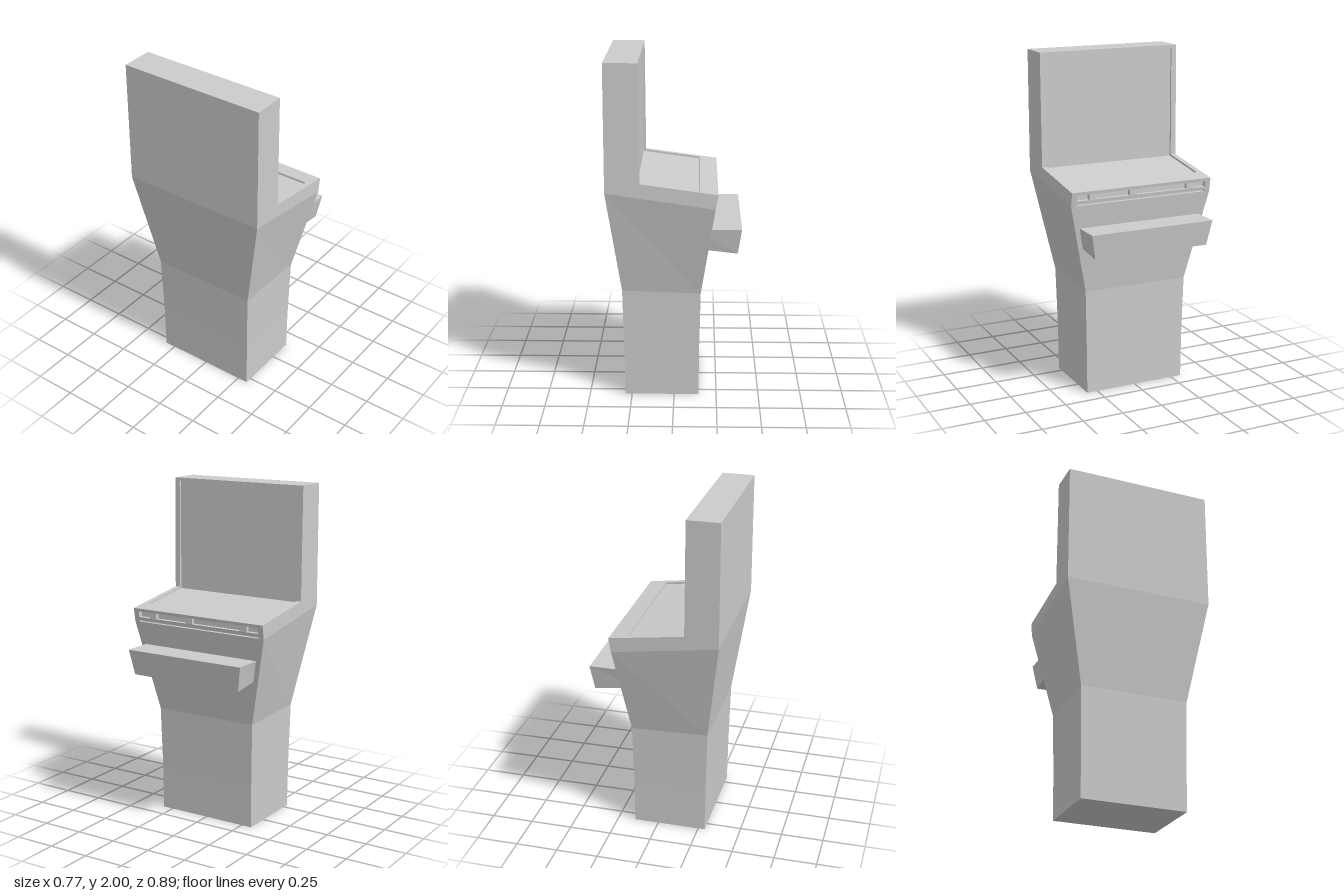
import * as THREE from 'three';

const material = new THREE.MeshStandardMaterial({ color: 0xcccccc, flatShading: true, side: THREE.DoubleSide });

function add(parent, name, geometry) {
  const mesh = new THREE.Mesh(geometry, material);
  mesh.name = name;
  parent.add(mesh);
  return mesh;
}

// Closed four-sided loft; each ring is { back: [x, y], front: [x, y], w: half width }
function loft(rings) {
  const corners = rings.map(({ back, front, w }) => [
    [...back, -w], [...front, -w], [...front, w], [...back, w],
  ]);
  const pos = [];
  const quad = (a, b, c, d) => pos.push(...a, ...b, ...c, ...a, ...c, ...d);
  for (let i = 0; i < corners.length - 1; i++) {
    const lo = corners[i], hi = corners[i + 1];
    for (let j = 0; j < 4; j++) {
      const k = (j + 1) % 4;
      quad(lo[j], hi[j], hi[k], lo[k]);
    }
  }
  quad(...corners[0]);
  quad(...corners[corners.length - 1].slice().reverse());
  const geometry = new THREE.BufferGeometry();
  geometry.setAttribute('position', new THREE.Float32BufferAttribute(pos, 3));
  geometry.computeVertexNormals();
  return geometry;
}

// Side profile extruded across the width from z0 to z1
function slab(points, z0, z1) {
  const shape = new THREE.Shape(points.map(([x, y]) => new THREE.Vector2(x, y)));
  return new THREE.ExtrudeGeometry(shape, { depth: z1 - z0, bevelEnabled: false }).translate(0, 0, z0);
}

export function createModel() {
  const group = new THREE.Group();
  group.name = 'kiosk';
  const W = 0.445, inner = 0.412;

  // Tapered pedestal
  add(group, 'pedestal', loft([
    { back: [-0.29, 0], front: [0.145, 0], w: 0.315 },
    { back: [-0.294, 0.3], front: [0.147, 0.27], w: 0.317 },
    { back: [-0.302, 0.655], front: [0.155, 0.64], w: 0.325 },
    { back: [-0.387, 1.27], front: [0.235, 1.18], w: W },
  ]));

  // Solid side cheeks that frame the screens and the slots
  const cheek = [
    [-0.387, 1.27], [0.235, 1.18], [0.25, 1.265], [-0.19, 1.325], [-0.195, 2], [-0.387, 2],
  ];
  add(group, 'leftCheek', slab(cheek, -W, -inner));
  add(group, 'rightCheek', slab(cheek, inner, W));

  // Middle section with recessed upright and desk screens and two front slots
  const face = (y) => 0.235 + (y - 1.18) * 0.176;
  add(group, 'screenHousing', slab([
    [-0.387, 1.27], [0.235, 1.18],
    [face(1.183), 1.183], [0.215, 1.183], [0.215, 1.194], [face(1.194), 1.194],
    [face(1.212), 1.212], [0.215, 1.212], [0.215, 1.247], [face(1.247), 1.247],
    [0.25, 1.265], [0.143, 1.28], [0.142, 1.268],
    [-0.204, 1.315], [-0.207, 1.98], [-0.195, 1.98], [-0.195, 2], [-0.387, 2],
  ], -inner, inner));

  // Blocks in the upper slot
  for (const z of [0.312, 0.058, -0.312]) {
    const block = add(group, 'slotBlock', new THREE.BoxGeometry(0.026, 0.035, 0.044));
    block.position.set(0.227, 1.2295, z);
  }

  // Shelf projecting from the front
  add(group, 'shelf', loft([
    { back: [0.1, 0.926], front: [0.365, 0.895], w: 0.357 },
    { back: [0.1, 1.045], front: [0.387, 1.045], w: 0.384 },
  ]));

  return group;
}
